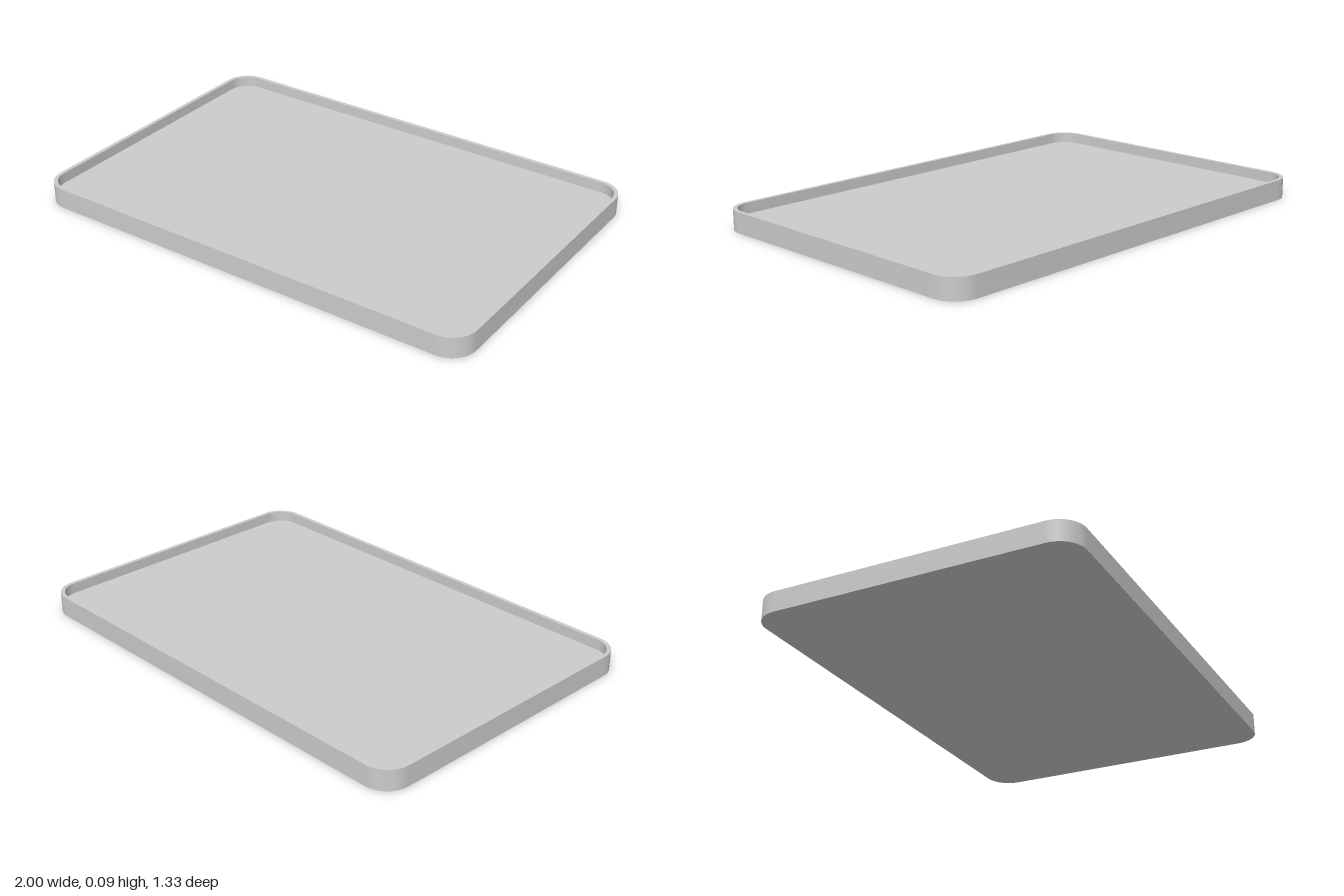
import * as THREE from 'three';
import { toCreasedNormals } from 'three/addons/utils/BufferGeometryUtils.js';

const HALF_X = 1, HALF_Z = 0.667, HEIGHT = 0.087, FLOOR = 0.042, WALL = 0.017, RADIUS = 0.107;

// Rounded rectangle, inset from the outer edge
function outline(inset, Type = THREE.Shape) {
  const x = HALF_X - inset, z = HALF_Z - inset, r = RADIUS - inset;
  const s = new Type();
  s.moveTo(x, -z + r);
  s.absarc(x - r, z - r, r, 0, Math.PI / 2);
  s.absarc(-x + r, z - r, r, Math.PI / 2, Math.PI);
  s.absarc(-x + r, -z + r, r, Math.PI, Math.PI * 1.5);
  s.absarc(x - r, -z + r, r, Math.PI * 1.5, Math.PI * 2);
  s.closePath();
  return s;
}

// Extrude an outline upward from y = 0
function slab(shape, depth) {
  const g = new THREE.ExtrudeGeometry(shape, { depth, bevelEnabled: false, curveSegments: 10 });
  g.rotateX(-Math.PI / 2);
  return toCreasedNormals(g, Math.PI / 6);
}

export function createModel() {
  const material = new THREE.MeshStandardMaterial({ color: 0xcccccc });
  const tray = new THREE.Group();
  tray.name = 'tray';

  // Raised wall running round the edge
  const ring = outline(0);
  ring.holes.push(outline(WALL, THREE.Path));
  const rim = new THREE.Mesh(slab(ring, HEIGHT), material);
  rim.name = 'rim';

  // Solid floor inside the wall
  const base = new THREE.Mesh(slab(outline(WALL), FLOOR), material);
  base.name = 'base';

  tray.add(rim, base);
  return tray;
}
